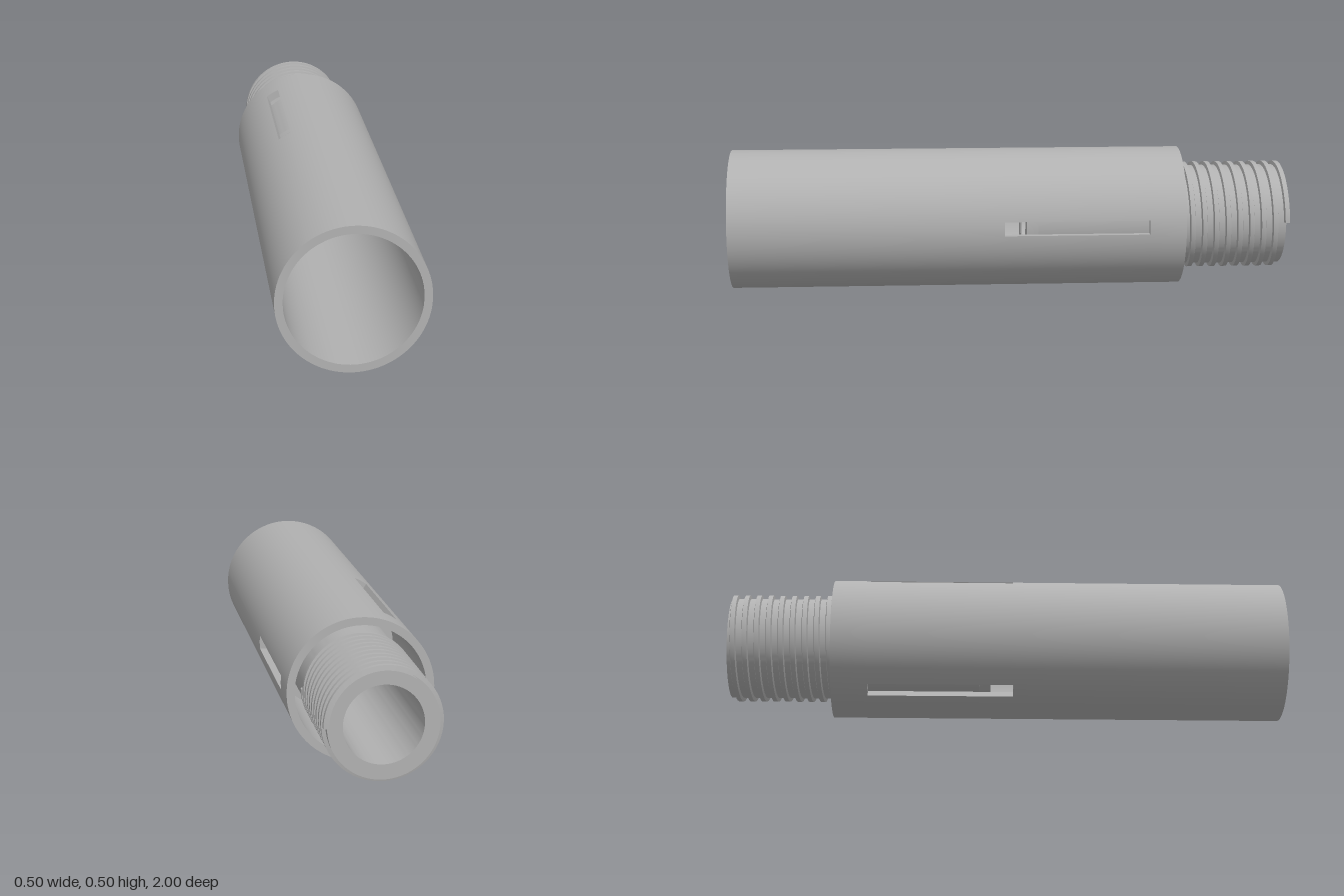
import * as THREE from 'three';
import { toCreasedNormals } from 'three/addons/utils/BufferGeometryUtils.js';

const R = 0.249, BORE = 0.222;               // sleeve outer and inner radius
const FRONT = 1, BACK = -0.615;              // sleeve ends
const SLOT_FRONT = 0.03, SLOT_BACK = -0.485; // slot ends
const SLOT_HALF = 0.025, THIRD = Math.PI * 2 / 3;

const polar = (a, r, z) => [r * Math.cos(a), r * Math.sin(a), z];

// Collects quads and turns them into a geometry with sharp edges kept
function quadBuilder() {
  const pos = [];
  return {
    quad(a, b, c, d, flip = false) {
      if (flip) [b, d] = [d, b];
      pos.push(...a, ...b, ...c, ...a, ...c, ...d);
    },
    build() {
      const g = new THREE.BufferGeometry();
      g.setAttribute('position', new THREE.Float32BufferAttribute(pos, 3));
      return toCreasedNormals(g, 0.6);
    },
  };
}

// Hollow sleeve with three straight-sided slots
function sleeveGeometry() {
  const { quad, build } = quadBuilder();
  const N = 32; // columns per third; the first two span a slot
  const angle = (third, k, r) => {
    const e = Math.asin(SLOT_HALF / r);
    const local = k < 2 ? (k - 1) * e : e + (k - 2) / (N - 2) * (THIRD - 2 * e);
    return third * THIRD + local;
  };
  for (let t = 0; t < 3; t++) {
    const P = (k, r, z) => polar(angle(t, k, r), r, z);
    const endFace = (k, z, facesBack) =>
      quad(P(k, BORE, z), P(k, R, z), P(k + 1, R, z), P(k + 1, BORE, z), facesBack);
    for (let k = 0; k < N; k++) {
      const slot = k < 2;
      const bands = [[BACK, SLOT_BACK], [SLOT_FRONT, FRONT]];
      if (!slot) bands.push([SLOT_BACK, SLOT_FRONT]);
      for (const [z0, z1] of bands) {
        for (const r of [R, BORE]) {
          quad(P(k, r, z0), P(k + 1, r, z0), P(k + 1, r, z1), P(k, r, z1), r === BORE);
        }
      }
      endFace(k, BACK, true);
      endFace(k, FRONT, false);
      if (slot) {
        endFace(k, SLOT_BACK, false);
        endFace(k, SLOT_FRONT, true);
      }
    }
    // long walls of the slot
    for (const k of [0, 2]) {
      quad(P(k, BORE, SLOT_BACK), P(k, R, SLOT_BACK), P(k, R, SLOT_FRONT), P(k, BORE, SLOT_FRONT), k === 0);
    }
  }
  return build();
}

// Flanged spigot with a blind bore, turned about z
function spigotGeometry() {
  const profile = [
    [0, -0.09], [0.13, -0.09], [0.13, -0.985], [0.18, -0.985], [0.18, -0.09],
    [BORE, -0.09], [BORE, -0.05], [0.135, -0.05], [0.13, -0.055], [0.13, -0.075], [0, -0.075],
  ].map(([r, z]) => new THREE.Vector2(r, z));
  const g = new THREE.LatheGeometry(profile, 96);
  g.rotateX(Math.PI / 2);
  return toCreasedNormals(g, 0.6);
}

// Helical ridge, overhanging the back end of the spigot
function threadGeometry() {
  const { quad, build } = quadBuilder();
  const pitch = 0.0425, turns = 10, steps = 64, start = -0.988;
  const section = [[0.176, -0.012], [0.193, -0.008], [0.193, 0.008], [0.176, 0.012]];
  const P = (i, [r, dz]) =>
    polar(i / steps * Math.PI * 2, r, start + pitch * i / steps + dz);
  const last = turns * steps;
  for (let i = 0; i < last; i++) {
    section.forEach((p, j) => {
      const q = section[(j + 1) % section.length];
      quad(P(i, p), P(i + 1, p), P(i + 1, q), P(i, q));
    });
  }
  quad(...section.map((p) => P(0, p)));
  quad(...section.map((p) => P(last, p)), true);
  return build();
}

export function createModel() {
  const metal = new THREE.MeshStandardMaterial({ color: 0xb0b0b0 });
  metal.name = 'grey metal';
  const model = new THREE.Group();
  model.name = 'threadedSleeve';
  const parts = {
    slottedSleeve: sleeveGeometry(),
    flangedSpigot: spigotGeometry(),
    screwThread: threadGeometry(),
  };
  for (const [name, geometry] of Object.entries(parts)) {
    const mesh = new THREE.Mesh(geometry, metal);
    mesh.name = name;
    mesh.position.y = R;
    model.add(mesh);
  }
  return model;
}
